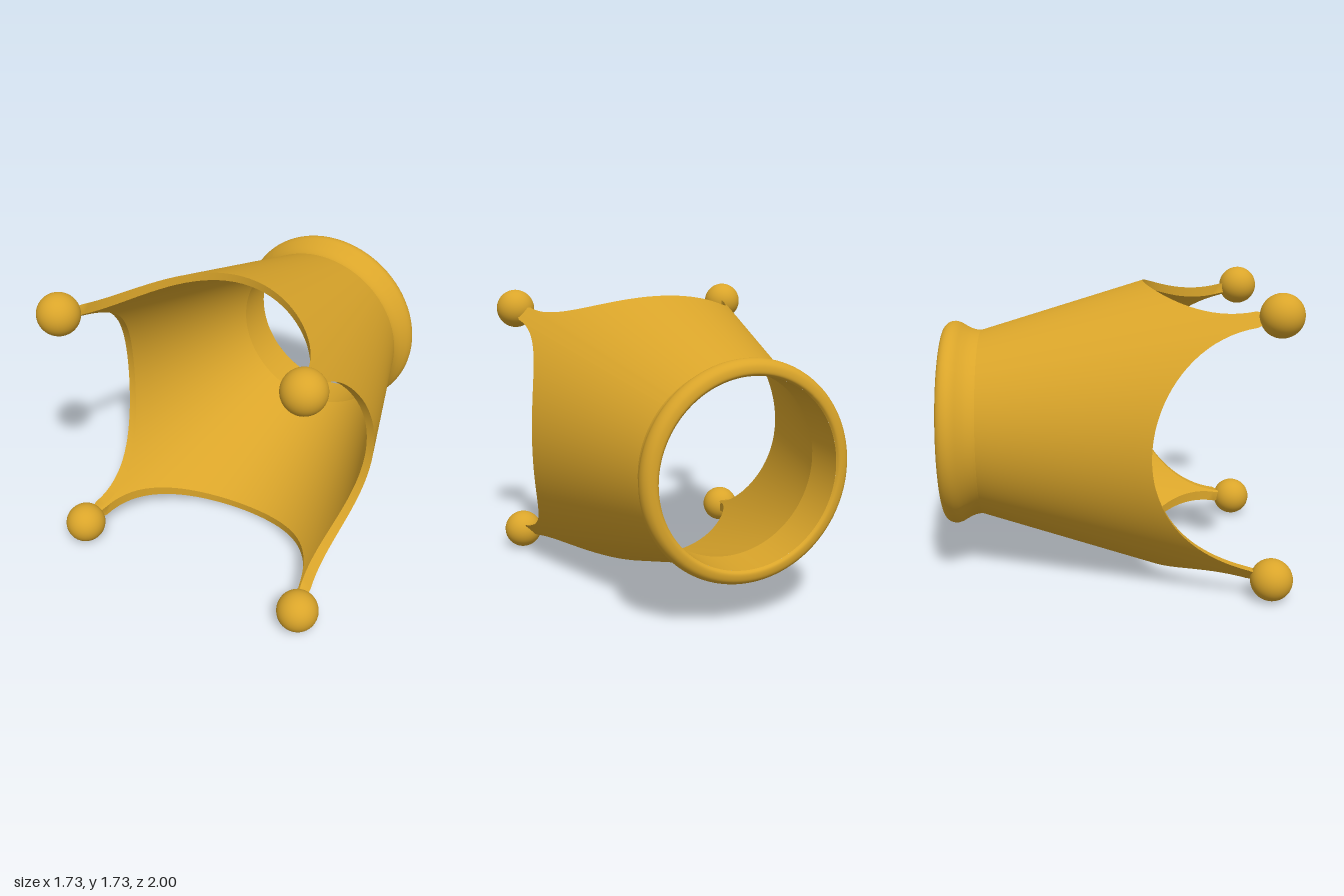
import * as THREE from 'three';

const CENTRE_Y = 0.87;
const SLOPE = 0.304;                    // cone radius gained per unit of z
const OUTER = 0.797, INNER = 0.751;     // cone radii at z = 0
const CUT_Z = 0.89, CUT_R = 0.7;        // round notches cut across the mouth
const BACK_Z = -0.78, BORE_R = 0.527;
const STEPS = 40;                       // columns per quarter

// Front edge of a cone wall where the two crossing notches cut it.
// Each column is { angle, z }; every quarter ends in a pointed prong.
function mouthEdge(radius) {
  const rc = radius + SLOPE * CUT_Z;
  const limit = Math.asin(CUT_R / Math.sqrt(rc * rc - (SLOPE * CUT_R) ** 2));
  const columns = [];
  for (let q = 0; q < 4; q++) {
    const axis = q * Math.PI / 2;
    for (let i = 0; i <= STEPS; i++) {
      const s = limit * Math.sin((i / STEPS - 0.5) * Math.PI);
      const m2 = Math.sin(s) ** 2;
      const a = 1 + m2 * SLOPE * SLOPE, b = m2 * SLOPE * rc, c = m2 * rc * rc - CUT_R * CUT_R;
      const w = (-b - Math.sqrt(Math.max(0, b * b - a * c))) / a;
      columns.push({ angle: axis + s, z: CUT_Z + w });
    }
    columns.push({ angle: axis + Math.PI / 4, z: CUT_Z });
  }
  return columns;
}

const onCone = (radius, col, z) => {
  const r = radius + SLOPE * z;
  return new THREE.Vector3(r * Math.cos(col.angle), r * Math.sin(col.angle), z);
};

// Closed band of quads through successive rings of points.
function band(rings) {
  const n = rings[0].length, pos = [], index = [];
  rings.forEach(ring => ring.forEach(p => pos.push(p.x, p.y, p.z)));
  for (let j = 0; j < rings.length - 1; j++) {
    for (let i = 0; i < n; i++) {
      const a = j * n + i, b = j * n + (i + 1) % n;
      index.push(a, b, b + n, a, b + n, a + n);
    }
  }
  const geo = new THREE.BufferGeometry();
  geo.setAttribute('position', new THREE.Float32BufferAttribute(pos, 3));
  geo.setIndex(index);
  geo.computeVertexNormals();
  return geo;
}

// Band between two edges, with straight rows in between.
function ruled(from, to, rows) {
  return band(Array.from({ length: rows + 1 }, (_, j) =>
    from.map((p, i) => p.clone().lerp(to[i], j / rows))));
}

// Band revolved about the z axis from [radius, z] points.
function revolved(profile, columns) {
  return band(profile.map(([r, z]) => columns.map(c =>
    new THREE.Vector3(r * Math.cos(c.angle), r * Math.sin(c.angle), z))));
}

export function createModel() {
  const group = new THREE.Group();
  const gold = new THREE.MeshStandardMaterial({ color: 0xdaa52a });
  const add = (name, geometry, x = 0, y = 0, z = 0) => {
    const mesh = new THREE.Mesh(geometry, gold);
    mesh.name = name;
    mesh.position.set(x, CENTRE_Y + y, z);
    group.add(mesh);
  };

  // Conical shell with its notched mouth
  const outerCols = mouthEdge(OUTER), innerCols = mouthEdge(INNER);
  const outerBack = outerCols.map(c => onCone(OUTER, c, BACK_Z));
  const outerFront = outerCols.map(c => onCone(OUTER, c, c.z));
  const innerFront = innerCols.map(c => onCone(INNER, c, c.z));
  const boreZ = (BORE_R - INNER) / SLOPE;
  const innerBack = innerCols.map(c => onCone(INNER, c, boreZ));
  add('outerWall', ruled(outerBack, outerFront, 10));
  add('mouthRim', ruled(outerFront, innerFront, 1));
  add('innerWall', ruled(innerFront, innerBack, 10));

  // Straight bore and flared lip at the back
  add('bore', revolved([[BORE_R, boreZ], [BORE_R, -0.985]], innerCols));
  const lip = new THREE.CatmullRomCurve3([
    [BORE_R, -0.985], [0.54, -0.998], [0.56, -1], [0.587, -0.992], [0.608, -0.968],
    [0.615, -0.935], [0.607, -0.905], [0.587, -0.87], [0.57, -0.835], [0.561, -0.8],
    [OUTER + SLOPE * BACK_Z, BACK_Z],
  ].map(([r, z]) => new THREE.Vector3(r, z, 0)));
  add('backLip', revolved(lip.getPoints(40).map(p => [p.x, p.y]), outerCols));

  // Ball on each prong
  for (const x of [-1, 1]) {
    for (const y of [-1, 1]) {
      const name = (y > 0 ? 'upper' : 'lower') + (x > 0 ? 'Left' : 'Right') + 'Ball';
      add(name, new THREE.SphereGeometry(0.12, 40, 24), x * 0.747, y * 0.747, 0.88);
    }
  }
  return group;
}
